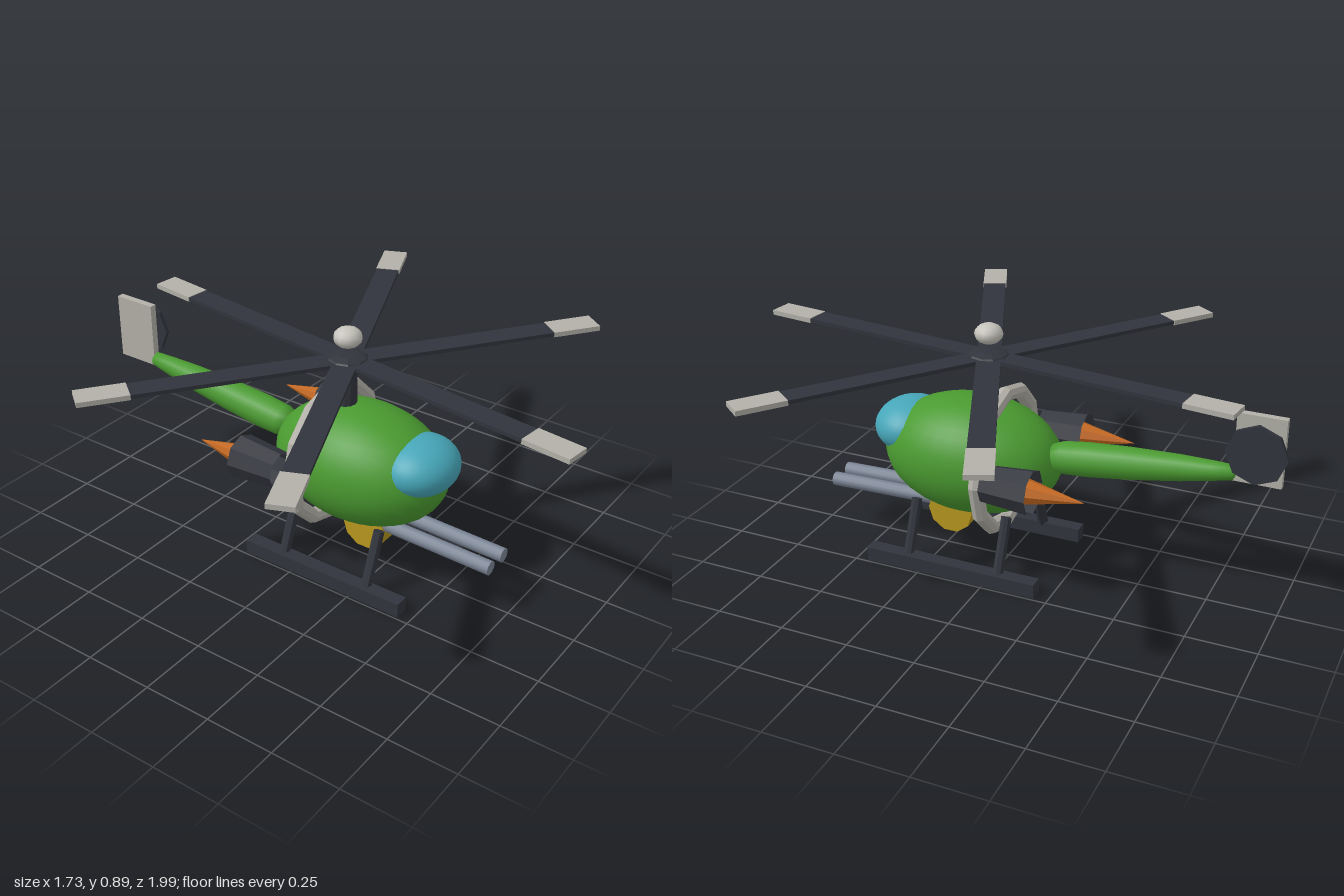
import * as THREE from 'three';

const mat = (color, flatShading = true, side = THREE.FrontSide) =>
  new THREE.MeshStandardMaterial({ color, flatShading, side });

export function createModel() {
  const root = new THREE.Group();
  const green = mat(0x4a9a30, false);
  const glass = mat(0x46a6b8, false);
  const dark = mat(0x31343c);
  const darkOpen = mat(0x31343c, true, THREE.DoubleSide);
  const pale = mat(0xb2b0a8);
  const paleSmooth = mat(0xc4c2ba, false);
  const orange = mat(0xc0661e);
  const steel = mat(0x7a8494, false);
  const yellow = mat(0xb8981e);

  const add = (name, geometry, material, x = 0, y = 0, z = 0, parent = root) => {
    const mesh = new THREE.Mesh(geometry, material);
    mesh.name = name;
    mesh.position.set(x, y, z);
    parent.add(mesh);
    return mesh;
  };
  const ellipsoid = (rx, ry, rz, w = 32, h = 20) =>
    new THREE.SphereGeometry(1, w, h).scale(rx, ry, rz);
  // Points a mesh's +y axis from one point towards another
  const aim = (mesh, from, to) => {
    const a = new THREE.Vector3(...from), b = new THREE.Vector3(...to);
    mesh.quaternion.setFromUnitVectors(new THREE.Vector3(0, 1, 0), b.sub(a).normalize());
    return mesh;
  };
  const rod = (name, from, to, r, material, sides) => {
    const a = new THREE.Vector3(...from), b = new THREE.Vector3(...to);
    const mid = a.clone().add(b).multiplyScalar(0.5);
    const geo = new THREE.CylinderGeometry(r, r, a.distanceTo(b), sides);
    return aim(add(name, geo, material, mid.x, mid.y, mid.z), from, to);
  };

  // Egg-shaped cabin, canopy and the band around it
  add('body', ellipsoid(0.228, 0.215, 0.335), green, 0, 0.397, 0.138);
  add('canopy', ellipsoid(0.15, 0.098, 0.135), glass, 0, 0.466, 0.378);
  add('bodyRing', new THREE.TorusGeometry(0.248, 0.028, 8, 12), pale, 0, 0.395, 0.013);

  // Tail boom: a tapering spindle
  const boomProfile = [[0, 0], [0.045, 0.015], [0.058, 0.06], [0.061, 0.15], [0.057, 0.3],
    [0.046, 0.48], [0.034, 0.6], [0.026, 0.665], [0, 0.685]].map(p => new THREE.Vector2(...p));
  aim(add('tailBoom', new THREE.LatheGeometry(boomProfile, 16), green, 0, 0.435, -0.15),
    [0, 0.435, -0.15], [0, 0.51, -0.83]);

  // Tail fin and the disc of the tail rotor
  add('tailFin', new THREE.BoxGeometry(0.026, 0.245, 0.165), pale, 0, 0.607, -0.893);
  add('tailRotor', new THREE.CylinderGeometry(0.105, 0.105, 0.015, 8).rotateZ(Math.PI / 2),
    dark, 0.046, 0.607, -0.893);

  // Main rotor
  const rotor = new THREE.Group();
  rotor.name = 'mainRotor';
  rotor.position.set(0, 0.775, 0.075);
  root.add(rotor);
  add('mast', new THREE.CylinderGeometry(0.034, 0.034, 0.2, 10), dark, 0, -0.1, 0, rotor);
  add('hub', ellipsoid(0.076, 0.024, 0.076, 10, 6), dark, 0, 0, 0, rotor);
  add('rotorCap', ellipsoid(0.051, 0.037, 0.051, 10, 8), paleSmooth, 0, 0.083, 0, rotor);
  for (let i = 0; i < 6; i++) {
    const blade = new THREE.Group();
    blade.name = 'blade';
    blade.rotation.y = THREE.MathUtils.degToRad(23 + 60 * i);
    rotor.add(blade);
    add('bladeSpar', new THREE.BoxGeometry(0.75, 0.014, 0.084), dark, 0.375, 0, 0, blade);
    add('bladeTip', new THREE.BoxGeometry(0.175, 0.018, 0.09), pale, 0.835, 0, 0, blade);
  }

  for (const s of [1, -1]) {
    // Engine: open flaring tube with an exhaust cone
    const engine = new THREE.Group();
    engine.name = 'engine';
    engine.position.set(s * 0.25, 0.42, 0);
    root.add(engine);
    const shell = new THREE.CylinderGeometry(0.066, 0.08, 0.175, 8, 1, true)
      .rotateX(Math.PI / 2).rotateZ(Math.PI / 2);
    add('engineShell', shell, darkOpen, 0, 0, -0.113, engine);
    const cone = new THREE.ConeGeometry(0.062, 0.28, 8).rotateX(-Math.PI / 2);
    add('exhaustCone', cone, orange, 0, 0, -0.245, engine);

    // Landing skid and its struts
    add('skid', new THREE.BoxGeometry(0.053, 0.053, 0.655), dark, s * 0.215, 0.0265, 0.128);
    for (const z of [0.303, -0.05])
      rod('skidStrut', [s * 0.213, 0.03, z], [s * 0.132, 0.235, z], 0.02, dark, 8);

    // Gun barrel
    rod('gunBarrel', [s * 0.045, 0.205, 0.2], [s * 0.045, 0.193, 0.695], 0.026, steel, 12);
  }

  // Rounded gun mount under the nose
  add('gunMount', new THREE.CylinderGeometry(0.086, 0.086, 0.15, 10).rotateZ(Math.PI / 2),
    yellow, 0, 0.178, 0.2);

  return root;
}
